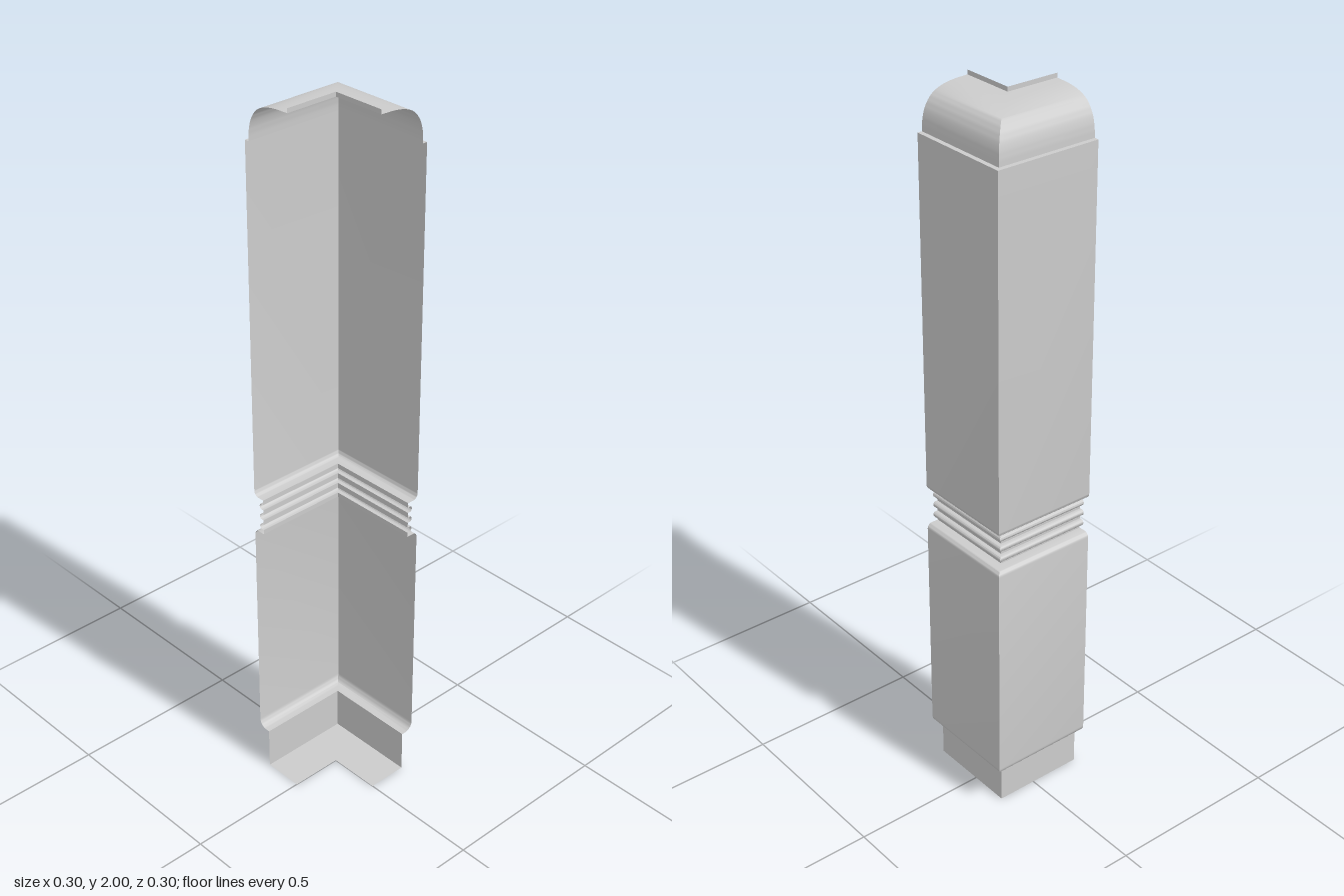
import * as THREE from 'three';
import { toCreasedNormals } from 'three/addons/utils/BufferGeometryUtils.js';

const R = 0.15; // half the footprint
const material = new THREE.MeshStandardMaterial({ color: 0xcccccc, side: THREE.DoubleSide });

// Sweeps a profile of [inset, height] points along both arms of a mitred corner.
function cornerSweep(name, profile) {
  const pos = [];
  const path = ([d, y]) => [[R, y, -R + d], [-R + d, y, -R + d], [-R + d, y, R]];
  for (let i = 0; i < profile.length - 1; i++) {
    const low = path(profile[i]), high = path(profile[i + 1]);
    for (let k = 0; k < 2; k++) {
      const a = low[k], b = low[k + 1], c = high[k + 1], d = high[k];
      pos.push(...a, ...b, ...c, ...a, ...c, ...d);
    }
  }
  const geometry = new THREE.BufferGeometry();
  geometry.setAttribute('position', new THREE.Float32BufferAttribute(pos, 3));
  const mesh = new THREE.Mesh(toCreasedNormals(geometry, 0.7), material);
  mesh.name = name;
  return mesh;
}

// Elliptical arc of profile points from angle a0 to a1 (degrees).
function arc(cd, cy, rd, ry, a0, a1, steps = 8) {
  return Array.from({ length: steps + 1 }, (_, i) => {
    const a = THREE.MathUtils.degToRad(a0 + (a1 - a0) * i / steps);
    return [cd + rd * Math.cos(a), cy + ry * Math.sin(a)];
  });
}

export function createModel() {
  const group = new THREE.Group();
  group.name = 'cornerPillar';

  // Recessed plinth with its floor
  group.add(cornerSweep('plinth', [[0.15, 0], [0.036, 0], [0.036, 0.122]]));

  // Lower panel with rounded bottom and top edges
  group.add(cornerSweep('lowerPanel', [
    [0.036, 0.122],
    ...arc(0.025, 0.147, 0.025, 0.025, 270, 180),
    ...arc(0.014, 0.774, 0.014, 0.014, 180, 90, 6),
    [0.034, 0.788],
  ]));

  // Band of narrow ribs at the waist
  const ribs = [[0.034, 0.788]];
  for (let i = 0; i < 3; i++) {
    const y = 0.809 + i * 0.031;
    ribs.push([0.034, y - 0.008], ...arc(0.026, y, 0.006, 0.008, 270, 90, 6), [0.034, y + 0.008]);
  }
  ribs.push([0.034, 0.893]);
  group.add(cornerSweep('waistRibs', ribs));

  // Upper panel with rounded bottom edge and a small ledge on top
  group.add(cornerSweep('upperPanel', [
    [0.034, 0.893],
    ...arc(0.016, 0.909, 0.016, 0.016, 270, 180),
    [0, 1.88], [0.013, 1.88],
  ]));

  // Domed cap finishing in a thin upright lip
  const dome = new THREE.SplineCurve([
    [0.013, 1.88], [0.015, 1.91], [0.024, 1.94], [0.043, 1.965],
    [0.07, 1.979], [0.105, 1.986], [0.15, 1.988],
  ].map(p => new THREE.Vector2(...p)));
  group.add(cornerSweep('domedCap', dome.getPoints(24).map(p => [p.x, p.y])));
  group.add(cornerSweep('capLip', [[0.15, 1.988], [0.15, 2]]));

  return group;
}
